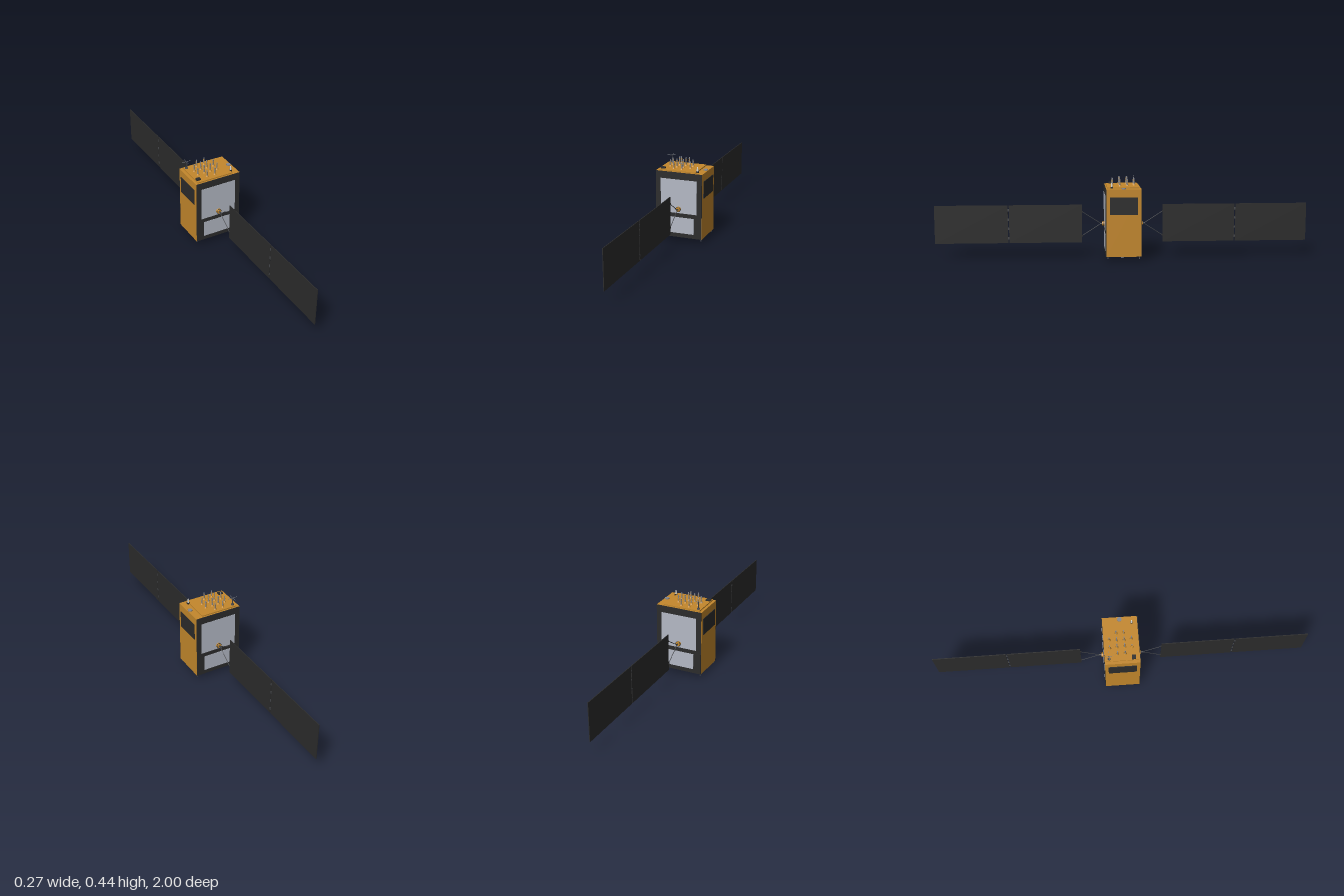
import * as THREE from 'three';

const mat = (name, color, side = THREE.FrontSide) => {
  const m = new THREE.MeshStandardMaterial({ color, side });
  m.name = name;
  return m;
};

export function createModel() {
  const gold = mat('gold foil', 0xc4882c);
  const black = mat('black panel', 0x2c2c2c);
  const radiator = mat('radiator grey', 0xb4b9c5);
  const metal = mat('metal grey', 0x85878e, THREE.DoubleSide);
  const darkMetal = mat('dark metal', 0x45474b);
  const white = mat('off white', 0xd8d8d4);

  const model = new THREE.Group();
  model.name = 'satellite';
  const add = (parent, name, geo, material, x = 0, y = 0, z = 0) => {
    const mesh = new THREE.Mesh(geo, material);
    mesh.name = name;
    mesh.position.set(x, y, z);
    parent.add(mesh);
    return mesh;
  };
  const box = (w, h, d) => new THREE.BoxGeometry(w, h, d);
  const cyl = (rt, rb, h, n = 16, open = false) => new THREE.CylinderGeometry(rt, rb, h, n, 1, open);
  const group = (parent, name, x = 0, y = 0, z = 0) => {
    const g = new THREE.Group();
    g.name = name;
    g.position.set(x, y, z);
    parent.add(g);
    return g;
  };
  const rod = (parent, name, a, b, r, material) => {
    const from = new THREE.Vector3(...a), dir = new THREE.Vector3(...b).sub(from);
    const mesh = add(parent, name, cyl(r, r, dir.length(), 8), material);
    mesh.position.copy(from).addScaledVector(dir, 0.5);
    mesh.quaternion.setFromUnitVectors(new THREE.Vector3(0, 1, 0), dir.normalize());
    return mesh;
  };

  // Body with side equipment panels
  add(model, 'body', box(0.26, 0.358, 0.184), gold, 0, 0.204, 0);
  for (const s of [-1, 1])
    add(model, 'sidePanel', box(0.004, 0.092, 0.148), black, s * 0.131, 0.295, 0);

  // Front and back faces, each with its solar wing
  for (const turn of [0, Math.PI]) {
    const half = group(model, turn ? 'backHalf' : 'frontHalf');
    half.rotation.y = turn;
    add(half, 'facePanel', box(0.258, 0.358, 0.003), black, 0, 0.204, 0.0935);
    add(half, 'upperRadiator', box(0.203, 0.185, 0.002), radiator, 0, 0.2525, 0.095);
    add(half, 'lowerRadiator', box(0.171, 0.089, 0.002), radiator, 0, 0.0925, 0.095);

    // Rotating drive and V-shaped yoke
    const hub = group(half, 'wingDrive', 0, 0.183, 0.095);
    add(hub, 'driveHousing', cyl(0.011, 0.0135, 0.014, 24), gold, 0, 0, 0.007).rotation.x = Math.PI / 2;
    add(hub, 'driveRing', new THREE.TorusGeometry(0.0125, 0.0018, 8, 24), black, 0, 0, 0.009);
    add(hub, 'driveShaft', cyl(0.004, 0.004, 0.016, 12), darkMetal, 0, 0, 0.018).rotation.x = Math.PI / 2;
    for (const s of [-1, 1]) {
      rod(half, 'yokeArm', [0, 0.183, 0.115], [0, 0.183 + s * 0.065, 0.216], 0.0018, darkMetal);
      add(half, 'yokeJoint', box(0.006, 0.007, 0.006), black, 0, 0.183 + s * 0.065, 0.216);
    }

    // Two solar panels joined by hinges
    add(half, 'innerSolarPanel', box(0.004, 0.204, 0.389), black, 0, 0.184, 0.4115);
    add(half, 'outerSolarPanel', box(0.004, 0.204, 0.388), black, 0, 0.184, 0.806);
    for (const dy of [-0.075, -0.025, 0.025, 0.075])
      add(half, 'panelHinge', box(0.005, 0.012, 0.008), darkMetal, 0, 0.184 + dy, 0.609);
  }

  // Top deck
  add(model, 'topPlate', box(0.205, 0.006, 0.17), gold, -0.0125, 0.386, 0);

  // Helical antenna array: four tall in the middle, eight shorter around them
  const helix = (x, z, h) => {
    const g = group(model, 'helixAntenna', x, 0.389, z);
    add(g, 'antennaBase', cyl(0.005, 0.009, 0.007), gold, 0, 0.0035, 0);
    add(g, 'antennaRod', cyl(0.003, 0.004, h - 0.007, 12), metal, 0, (h + 0.007) / 2, 0);
    for (let y = 0.012; y < h - 0.004; y += 0.008)
      add(g, 'antennaRing', cyl(0.0042, 0.0042, 0.002, 12), gold, 0, y, 0);
  };
  for (const z of [-0.024, 0.016]) {
    for (const x of [-0.04, -0.004]) helix(x, z, 0.046);
    for (const x of [-0.078, 0.036]) helix(x, z, 0.038);
  }
  for (const z of [-0.062, 0.054])
    for (const x of [-0.044, 0.001]) helix(x, z, 0.038);

  // Crossed dipole mast
  const mast = group(model, 'dipoleMast', -0.101, 0.389, -0.068);
  add(mast, 'mastFoot', cyl(0.006, 0.008, 0.008), darkMetal, 0, 0.004, 0);
  add(mast, 'mastPole', cyl(0.002, 0.002, 0.042, 10), darkMetal, 0, 0.021, 0);
  add(mast, 'dipoleX', box(0.052, 0.0015, 0.0015), metal, 0, 0.041, 0);
  add(mast, 'dipoleZ', box(0.0015, 0.0015, 0.052), metal, 0, 0.041, 0);

  // Sensor box, conical beacon and round sensor
  add(model, 'sensorBox', box(0.024, 0.007, 0.02), black, -0.1, 0.3925, 0.06);
  const beacon = group(model, 'beacon', 0.093, 0.383, 0.062);
  add(beacon, 'beaconBase', box(0.012, 0.009, 0.012), black, 0, 0.0045, 0);
  add(beacon, 'beaconCone', cyl(0.003, 0.005, 0.021, 14), white, 0, 0.0195, 0);
  add(model, 'reflectorArray', cyl(0.012, 0.012, 0.005, 24), metal, 0.116, 0.3855, 0);

  // Underside: launch ring, engine nozzle and corner thrusters
  add(model, 'launchRing', cyl(0.078, 0.078, 0.007, 48, true), metal, 0, 0.0215, 0);
  add(model, 'ringPlate', cyl(0.0765, 0.0765, 0.006, 48), darkMetal, 0, 0.0215, 0);
  add(model, 'engineNozzle', new THREE.LatheGeometry(
    [[0.018, 0], [0.0145, 0.007], [0.01, 0.015], [0.007, 0.02]].map(p => new THREE.Vector2(...p)), 28), metal);
  for (const x of [-0.122, 0.122])
    for (const z of [-0.083, 0.083]) {
      const t = group(model, 'thruster', x, 0, z);
      add(t, 'thrusterMount', cyl(0.004, 0.003, 0.006, 10), darkMetal, 0, 0.023, 0);
      add(t, 'thrusterNozzle', cyl(0.0015, 0.0035, 0.008, 10), darkMetal, 0, 0.017, 0);
    }

  return model;
}
